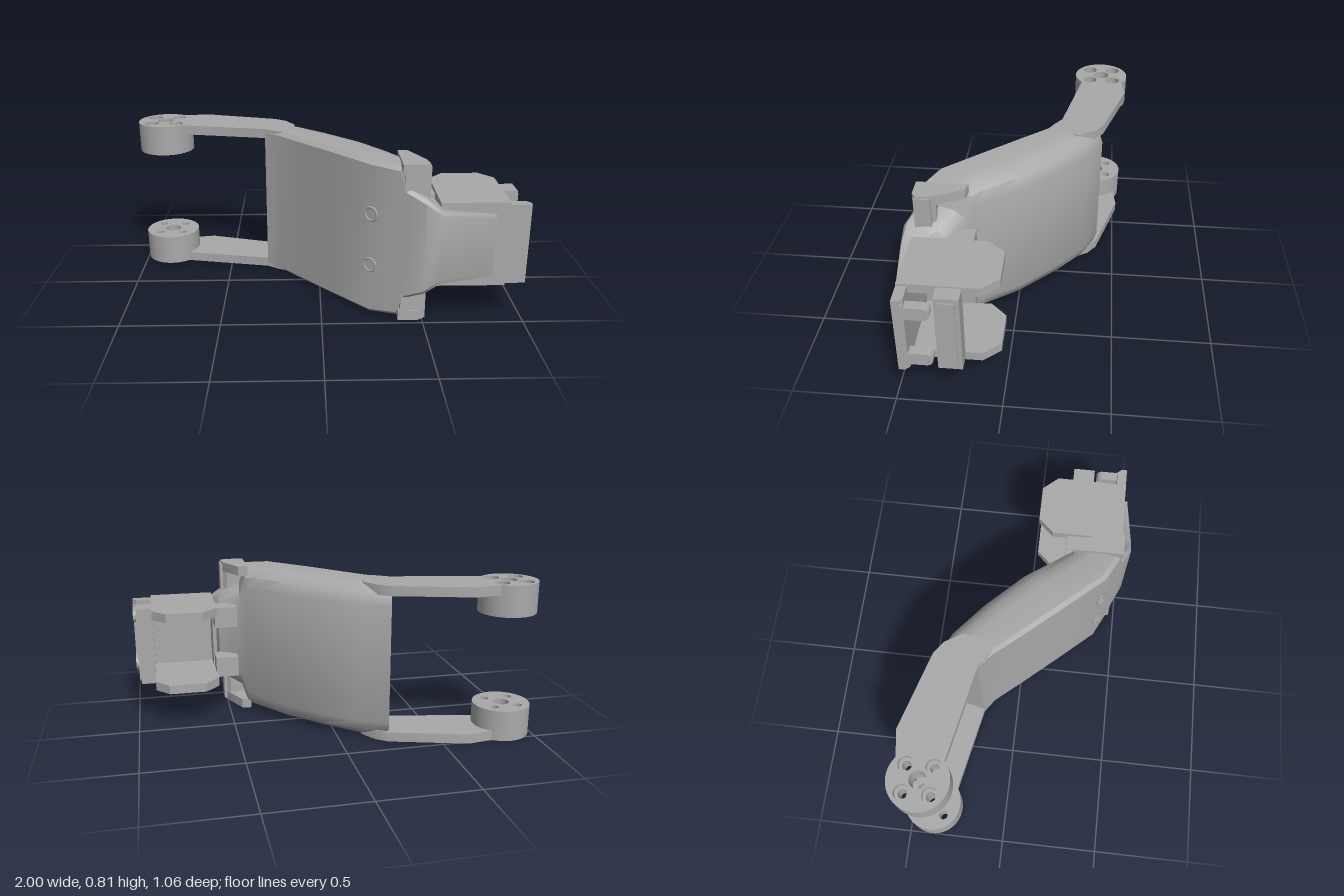
import * as THREE from 'three';
import { toCreasedNormals } from 'three/addons/utils/BufferGeometryUtils.js';

const H = 0.81; // total height; the part is mirrored about H / 2

export function createModel() {
  const model = new THREE.Group();
  model.name = 'hingeBracket';
  const grey = new THREE.MeshStandardMaterial({ color: 0xa9a9a9 });
  grey.name = 'plain grey';

  const add = (name, geometry) => {
    const mesh = new THREE.Mesh(geometry, grey);
    mesh.name = name;
    model.add(mesh);
    return mesh;
  };

  // Plan outline in [x, z], raised from y0 to y1; holes are [x, z, radius]
  const slab = (name, outline, y0, y1, holes = []) => {
    const shape = outline instanceof THREE.Shape ? outline
      : new THREE.Shape(outline.map(([x, z]) => new THREE.Vector2(x, -z)));
    shape.holes = holes.map(([x, z, r]) => new THREE.Path().absarc(x, -z, r, 0, Math.PI * 2, true));
    const g = new THREE.ExtrudeGeometry(shape, { depth: y1 - y0, bevelEnabled: false, curveSegments: 24 });
    g.rotateX(-Math.PI / 2).translate(0, y0, 0);
    return add(name, toCreasedNormals(g, 0.5));
  };
  const pair = (name, outline, y0, y1, holes) => {
    slab(name + 'Upper', outline, y0, y1, holes);
    slab(name + 'Lower', outline, H - y1, H - y0, holes);
  };
  const box = (name, x0, x1, y0, y1, z0, z1) =>
    add(name, new THREE.BoxGeometry(x1 - x0, y1 - y0, z1 - z0))
      .position.set((x0 + x1) / 2, (y0 + y1) / 2, (z0 + z1) / 2);

  // Round hubs with a centre bore and four counterbored screw holes
  const hx = -0.852, hz = -0.385;
  const disc = () => new THREE.Shape().absarc(hx, -hz, 0.148, 0, Math.PI * 2, false);
  const bores = (r) => [[hx, hz, 0.042],
    ...[[-1, -1], [1, -1], [-1, 1], [1, 1]].map(([a, b]) => [hx + a * 0.065, hz + b * 0.065, r])];
  pair('hub', disc(), 0.65, 0.77, bores(0.022));
  pair('hubRim', disc(), 0.77, H, bores(0.038));

  // Flat arms from the hubs to the body
  pair('arm', [[-0.77, -0.5], [-0.63, -0.52], [-0.24, -0.405], [-0.18, -0.36], [-0.13, -0.28],
    [-0.15, -0.1], [-0.24, -0.15], [-0.29, -0.185], [-0.75, -0.275], [-0.72, -0.34], [-0.72, -0.43]], 0.76, H);

  // Curved body tapering into the neck: front x, z, back x, z, half height
  add('body', loft([
    [-0.29, -0.185, -0.24, -0.405, 0.403],
    [-0.22, -0.13, -0.1, -0.34, 0.405],
    [-0.1, 0.01, 0.07, -0.2, 0.405],
    [0.06, 0.19, 0.25, -0.02, 0.405],
    [0.24, 0.39, 0.36, 0.135, 0.402],
    [0.37, 0.455, 0.4, 0.19, 0.39],
    [0.4, 0.475, 0.43, 0.22, 0.29],
    [0.49, 0.52, 0.54, 0.3, 0.245],
    [0.57, 0.525, 0.58, 0.43, 0.185],
    [0.83, 0.49, 0.83, 0.46, 0.16],
  ]));

  // Small screw seats on the front of the body
  for (const y of [0.27, 0.54]) {
    const seat = add('screwSeat', new THREE.TorusGeometry(0.034, 0.006, 6, 24));
    seat.position.set(0.24, y, 0.392);
    seat.rotation.y = -0.65;
  }

  // Side clips beside the neck: flared plate, upright and lip
  pair('clipPlate', [[0.38, 0.22], [0.43, 0.23], [0.5, 0.38], [0.51, 0.45], [0.48, 0.47], [0.38, 0.47]], 0.76, H);
  pair('clipUpright', [[0.39, 0.37], [0.48, 0.36], [0.5, 0.38], [0.5, 0.46], [0.39, 0.47]], 0.64, 0.8);
  pair('clipLip', [[0.5, 0.38], [0.515, 0.38], [0.515, 0.46], [0.5, 0.46]], 0.64, 0.8);

  // Cage: two chamfered plates joined by a front wall
  pair('cagePlate', [[0.565, 0.1], [0.64, 0.02], [0.83, 0.02], [0.9, 0.1], [0.9, 0.47], [0.565, 0.47]], 0.575, 0.622);
  box('cageFrontWall', 0.565, 1, 0.225, 0.585, 0.42, 0.47);
  pair('cageWallEnd', [[0.89, 0.42], [0.98, 0.42], [1, 0.44], [1, 0.47], [0.89, 0.47]], 0.58, 0.61);
  box('cageInnerWall', 0.555, 0.575, 0.24, 0.575, 0.3, 0.47);

  // Upright posts on both sides of the cage
  box('outerPost', 0.895, 0.975, 0.2, 0.615, 0.18, 0.293);
  box('outerPostRidge', 0.965, 0.983, 0.22, 0.595, 0.2, 0.275);
  pair('innerPost', [[0.45, 0.18], [0.57, 0.18], [0.57, 0.293], [0.45, 0.293]], 0.49, 0.6);

  // Lugs with screw bosses on the outer side
  for (const y of [0.27, 0.54]) {
    box('lug', 0.95, 1, y - 0.033, y + 0.033, 0.34, 0.43);
    const boss = add('lugBoss', new THREE.CylinderGeometry(0.033, 0.033, 0.05, 20));
    boss.rotation.z = Math.PI / 2;
    boss.position.set(0.975, y, 0.34);
    const ring = add('lugRing', new THREE.TorusGeometry(0.017, 0.003, 6, 20));
    ring.rotation.y = Math.PI / 2;
    ring.position.set(0.998, y, 0.34);
  }
  return model;
}

// Skins rounded upright sections running from the front face to the back face
function loft(stations) {
  const pos = [], index = [];
  let n = 0;
  for (const [fx, fz, bx, bz, h] of stations) {
    const half = [[0, h - 0.02], [0.08, h], [0.55, h], [0.75, h - 0.012], [0.92, h - 0.045], [1, h - 0.1]];
    const loop = [...half.map(([t, y]) => [t, y]), ...half.map(([t, y]) => [t, -y]).reverse()];
    n = loop.length;
    for (const [t, y] of loop) pos.push(fx + (bx - fx) * t, H / 2 + y, fz + (bz - fz) * t);
  }
  const last = (stations.length - 1) * n;
  for (let i = 0; i < last; i += n) {
    for (let j = 0; j < n; j++) {
      const k = (j + 1) % n;
      index.push(i + j, i + n + j, i + n + k, i + j, i + n + k, i + k);
    }
  }
  for (let j = 1; j < n - 1; j++) index.push(0, j, j + 1, last, last + j + 1, last + j);
  const g = new THREE.BufferGeometry();
  g.setAttribute('position', new THREE.Float32BufferAttribute(pos, 3));
  g.setIndex(index);
  return toCreasedNormals(g, 0.6);
}
